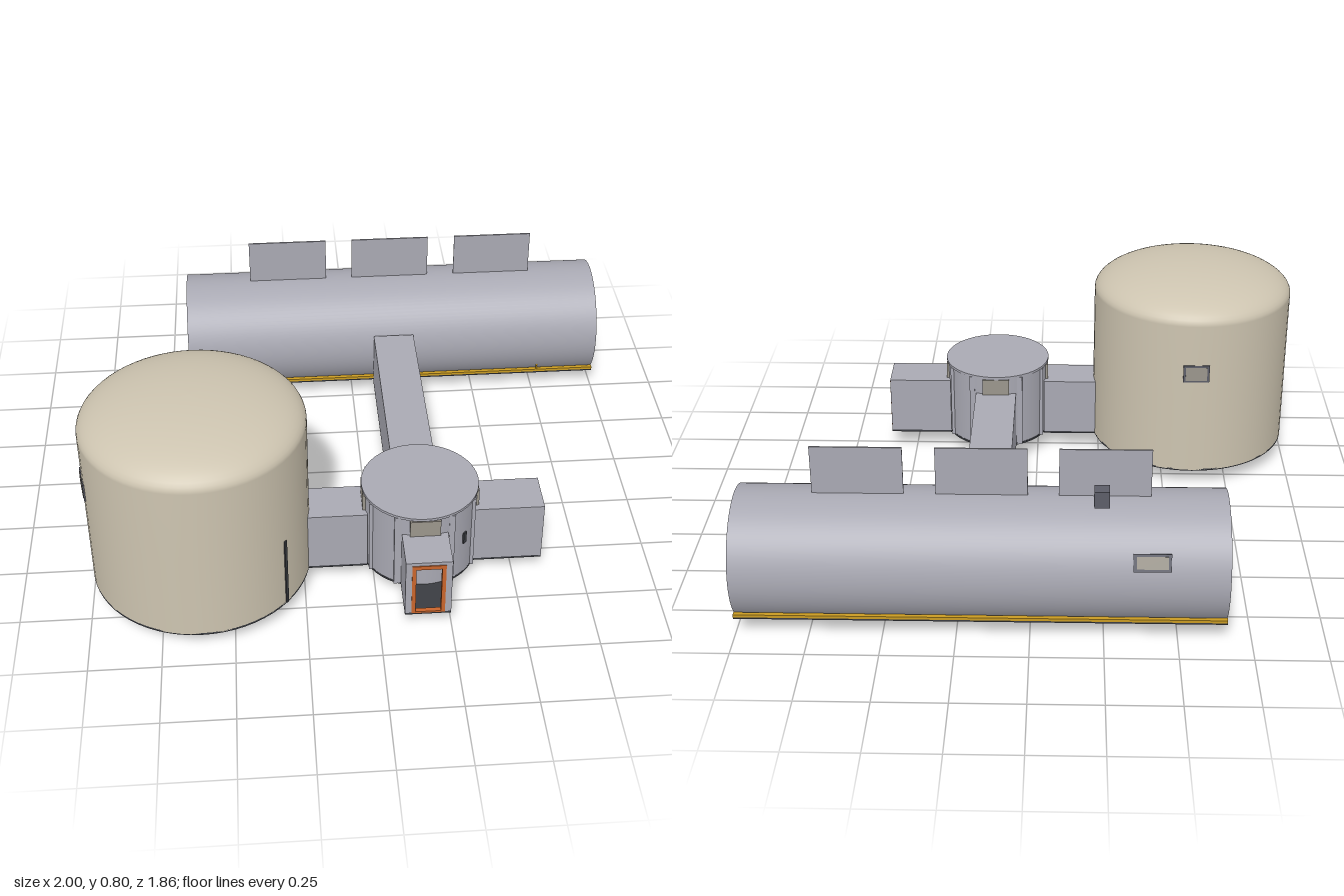
import * as THREE from 'three';
import { toCreasedNormals } from 'three/addons/utils/BufferGeometryUtils.js';

const mat = (name, color) => {
  const m = new THREE.MeshStandardMaterial({ color });
  m.name = name;
  return m;
};

export function createModel() {
  const grey = mat('panel grey', 0xa9a9b3);
  const tan = mat('dome tan', 0xcdc4b0);
  const dark = mat('floor dark', 0x3a3c41);
  const slate = mat('equipment slate', 0x5c5d68);
  const orange = mat('door orange', 0xc9652c);
  const yellow = mat('strip yellow', 0xc99b22);
  const pane = mat('window pane', 0x9b968c);

  const root = new THREE.Group();
  const add = (parent, name, geo, material, x = 0, y = 0, z = 0) => {
    const m = new THREE.Mesh(geo, material);
    m.name = name;
    m.position.set(x, y, z);
    parent.add(m);
    return m;
  };
  // box given by its minimum and maximum corners
  const box = (parent, name, material, x0, x1, y0, y1, z0, z1) =>
    add(parent, name, new THREE.BoxGeometry(x1 - x0, y1 - y0, z1 - z0), material,
      (x0 + x1) / 2, (y0 + y1) / 2, (z0 + z1) / 2);
  const group = (name, x = 0, y = 0, z = 0, ry = 0) => {
    const g = new THREE.Group();
    g.name = name;
    g.position.set(x, y, z);
    g.rotation.y = ry;
    root.add(g);
    return g;
  };
  // door surround standing at y, facing +z
  const doorFrame = (parent, w, y0, y1, z0, z1) => {
    for (const s of [-1, 1]) {
      const x = s * (w / 2 - 0.007);
      box(parent, 'doorJamb', orange, x - 0.007, x + 0.007, y0, y1, z0, z1);
    }
    box(parent, 'doorHead', orange, -w / 2, w / 2, y1 - 0.016, y1, z0, z1);
    box(parent, 'doorSill', orange, -w / 2, w / 2, y0, y0 + 0.006, z0, z1);
  };

  const BASE = 0.075;

  // ---- domed hall
  const dome = group('domedHall', -0.613, 0, 0.54);
  const R = 0.387;
  const profile = [new THREE.Vector2(R, BASE), new THREE.Vector2(R, 0.4)];
  for (let i = 0; i <= 16; i++) {
    const a = (i / 16) * Math.PI / 2;
    profile.push(new THREE.Vector2(i === 16 ? 0 : R * Math.cos(a), 0.69 + 0.115 * Math.sin(a)));
  }
  add(dome, 'domeShell', new THREE.LatheGeometry(profile, 64), tan);
  add(dome, 'domeFloor', new THREE.CylinderGeometry(R, R, 0.008, 64), dark, 0, BASE, 0);
  // windows and door edge on the round wall
  const onWall = (name, angle, radius) => {
    const g = new THREE.Group();
    g.name = name;
    g.rotation.y = angle;
    const inner = new THREE.Group();
    inner.position.z = radius;
    g.add(inner);
    return [g, inner];
  };
  for (const angle of [Math.PI, -1.39]) {
    const [g, w] = onWall('domeWindow', angle, R - 0.002);
    box(w, 'windowFrame', slate, -0.05, 0.05, 0.46, 0.53, -0.004, 0.004);
    box(w, 'windowPane', pane, -0.041, 0.041, 0.468, 0.522, 0, 0.006);
    dome.add(g);
  }
  const [doorGroup, doorEdge] = onWall('domeDoorEdge', 0.87, R - 0.004);
  box(doorEdge, 'doorEdge', dark, -0.006, 0.006, BASE, 0.355, -0.008, 0.008);
  dome.add(doorGroup);

  // ---- round hub
  const HX = 0.165, HZ = 0.54, HR = 0.203;
  const hub = group('hub', HX, 0, HZ);
  add(hub, 'hubWall', new THREE.CylinderGeometry(HR, HR, 0.295, 48, 1, true), grey, 0, 0.2275, 0);
  add(hub, 'hubRoof', new THREE.CylinderGeometry(0.207, 0.207, 0.01, 48), grey, 0, 0.379, 0);
  add(hub, 'hubFloor', new THREE.CylinderGeometry(HR, HR, 0.008, 48), dark, 0, BASE, 0);
  const [padGroup, pad] = onWall('keypad', Math.PI / 4, HR);
  box(pad, 'keypadPlate', dark, -0.008, 0.008, 0.215, 0.262, -0.004, 0.005);
  hub.add(padGroup);

  // ---- corridors leaving the hub, each modelled along +z
  const corridor = (name, angle, end, hasDoor) => {
    const g = group(name, HX, 0, HZ, angle);
    const s = 0.19, t = 0.006, top = 0.306;
    for (const k of [-1, 1]) {
      const x = k * (0.08 - t / 2);
      box(g, 'corridorWall', grey, x - t / 2, x + t / 2, BASE + 0.004, top, s, end);
    }
    box(g, 'corridorRoof', grey, -0.08, 0.08, top - t, top, s, end);
    box(g, 'corridorFloor', dark, -0.08, 0.08, BASE - 0.004, BASE + 0.004, s, end);
    // panel above the opening and slim posts beside it
    box(g, 'lintelPanel', pane, -0.053, 0.053, top, 0.37, HR - 0.01, HR + 0.002);
    for (const k of [-1, 1]) {
      box(g, 'hubPost', grey, k * 0.095 - 0.01, k * 0.095 + 0.01, BASE, 0.375, 0.17, 0.186);
    }
    if (hasDoor) {
      for (const k of [-1, 1]) {
        box(g, 'endPanel', grey, k * 0.069 - 0.011, k * 0.069 + 0.011, BASE, top, end - 0.008, end);
      }
      box(g, 'endLintel', grey, -0.06, 0.06, 0.292, top, end - 0.008, end);
      doorFrame(g, 0.116, BASE + 0.004, 0.293, end - 0.014, end + 0.003);
      box(g, 'innerDoorWindow', slate, -0.045, 0.045, 0.228, 0.268, HR, HR + 0.006);
    }
  };
  corridor('frontEntrance', 0, 0.34, true);
  corridor('leftEntrance', Math.PI / 2, 0.435, true);
  corridor('domeLink', -Math.PI / 2, 0.41, false);
  corridor('longCorridor', Math.PI, 1.022, false);

  // ---- long open-ended tube
  const TY = 0.2285, TZ = -0.704, X0 = -0.665, X1 = 1.0, TR = 0.2265, TI = 0.211;
  const alongX = (shape, length) => {
    const geo = new THREE.ExtrudeGeometry(shape, { depth: length, bevelEnabled: false, curveSegments: 48 });
    geo.rotateY(Math.PI / 2);
    return toCreasedNormals(geo, 0.6);
  };
  const tube = group('longTube');
  const ring = new THREE.Shape().absarc(0, 0, TR, 0, Math.PI * 2, false);
  ring.holes.push(new THREE.Path().absarc(0, 0, TI, 0, Math.PI * 2, true));
  add(tube, 'tubeShell', alongX(ring, X1 - X0), grey, X0, TY, TZ);
  box(tube, 'tubeFloor', dark, X0, X1, 0.072, 0.08, TZ - 0.195, TZ + 0.195);
  for (const s of [-1, 1]) {
    const z = TZ + s * 0.19;
    box(tube, 'edgeStrip', yellow, X0, X1, 0.08, 0.09, z - 0.008, z + 0.008);
  }
  box(tube, 'stripPost', yellow, 0.765, 0.771, 0.09, 0.115, -0.515, -0.509);

  // partition with two doorways, trimmed to the tube
  const wall = new THREE.Shape();
  wall.absarc(0, 0, TI, -0.78, 0.49, false);
  wall.absarc(0, 0, TI, Math.PI - 0.49, Math.PI + 0.78, false);
  const rectHole = (a, b, y0, y1) => wall.holes.push(new THREE.Path([
    new THREE.Vector2(a, y0), new THREE.Vector2(a, y1),
    new THREE.Vector2(b, y1), new THREE.Vector2(b, y0)]));
  rectHole(-0.132, -0.062, -0.144, 0.056);
  rectHole(-0.045, 0.045, -0.144, 0.058);
  add(tube, 'partition', alongX(wall, 0.012), tan, 0.4, TY, TZ);
  const innerDoor = group('tubeDoor', 0.97, 0, TZ, Math.PI / 2);
  doorFrame(innerDoor, 0.11, 0.08, 0.298, -0.006, 0.006);

  // door surround where the corridor meets the tube
  const joinDoor = group('corridorDoor', HX, 0, -0.481);
  doorFrame(joinDoor, 0.12, 0.08, 0.293, -0.006, 0.006);

  // equipment inside the tube
  box(tube, 'tallCabinet', slate, 0.8, 0.94, 0.08, 0.28, -0.875, -0.845);
  box(tube, 'rack', slate, -0.62, -0.5, 0.08, 0.235, -0.597, -0.567);
  box(tube, 'lowUnit', slate, -0.62, -0.48, 0.08, 0.165, -0.667, -0.637);
  box(tube, 'wallUnit', slate, -0.6, -0.45, 0.335, 0.37, -0.853, -0.822);
  box(tube, 'ceilingBar', orange, 0.72, 0.92, 0.38, 0.388, -0.597, -0.562);
  box(tube, 'ceilingTray', dark, 0.72, 0.92, 0.389, 0.395, -0.622, -0.597);

  // upright roof panels, roof unit and rear window
  for (const x of [-0.405, 0.01, 0.428]) {
    box(tube, 'roofPanel', grey, x, x + 0.31, 0.453, 0.63, TZ - 0.003, TZ + 0.003);
  }
  box(tube, 'roofUnit', slate, -0.263, -0.212, 0.465, 0.525, -0.806, -0.757);
  const rear = group('rearWindow', -0.405, TY, TZ);
  rear.rotation.set(-0.42, Math.PI, 0, 'YXZ');
  box(rear, 'windowFrame', slate, -0.063, 0.063, -0.03, 0.03, TR - 0.004, TR + 0.004);
  box(rear, 'windowPane', pane, -0.052, 0.052, -0.021, 0.021, TR, TR + 0.006);

  return root;
}
